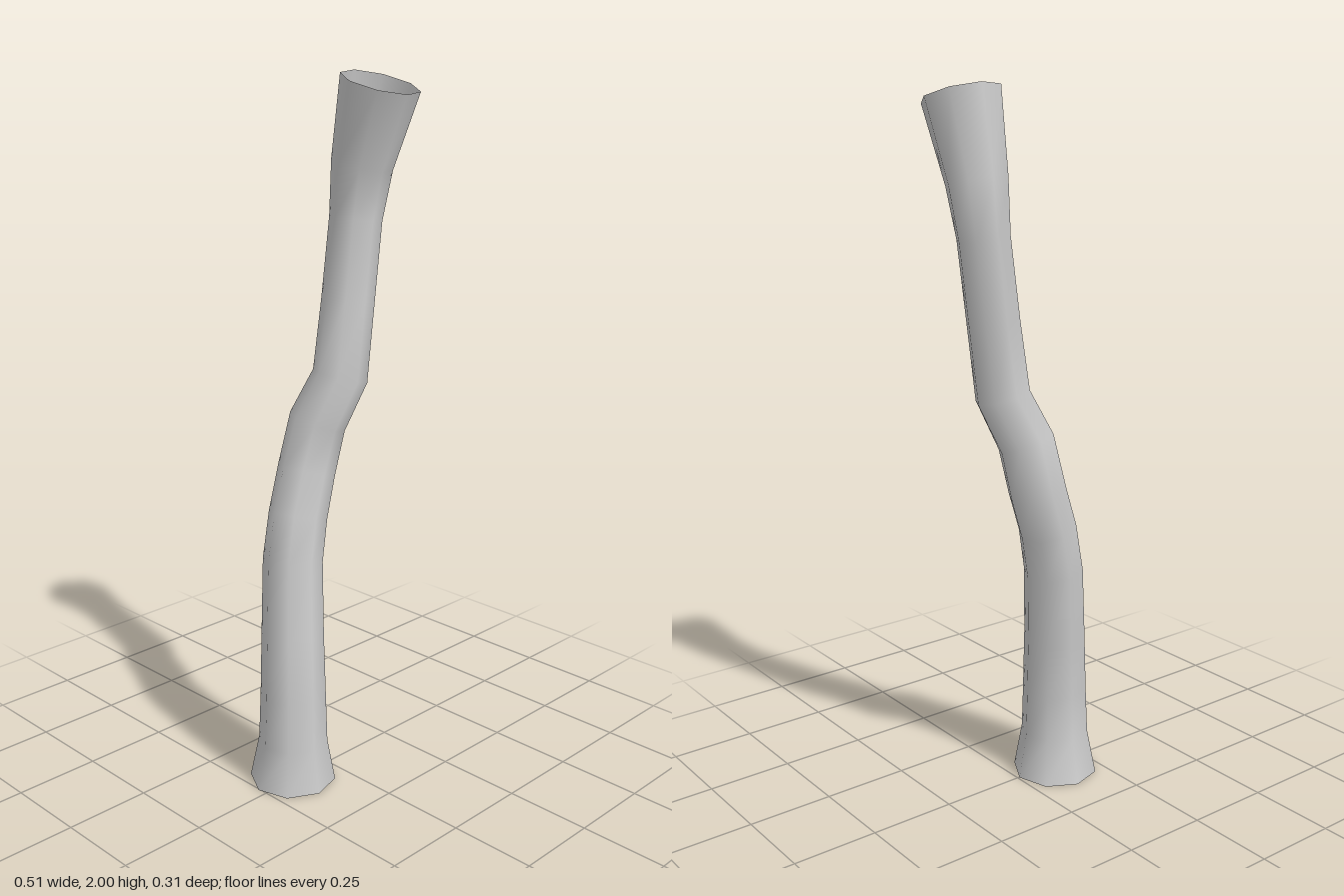
import * as THREE from 'three';

const SIDES = 8;
const PHASE = THREE.MathUtils.degToRad(6);

// Trunk cross-sections from root to tip: centre x, y, z and radius
const RINGS = [
  [-0.13, 0, -0.015, 0.125],
  [-0.132, 0.13, -0.01, 0.1],
  [-0.128, 0.27, -0.013, 0.095],
  [-0.115, 0.45, -0.027, 0.09],
  [-0.086, 0.66, -0.055, 0.086],
  [-0.062, 0.79, -0.057, 0.083],
  [-0.013, 0.91, -0.072, 0.081],
  [0.014, 1.05, -0.055, 0.077],
  [0.063, 1.18, -0.014, 0.076],
  [0.097, 1.39, -0.018, 0.074],
  [0.13, 1.61, -0.022, 0.073],
  [0.143, 1.755, -0.012, 0.084],
  [0.147, 1.972, 0.049, 0.107],
];

// Open tube whose rings lean square to the path; the foot stays flat on the ground
function trunkGeometry() {
  const positions = [];
  const indices = [];
  const last = RINGS.length - 1;
  RINGS.forEach(([cx, cy, cz, r], i) => {
    const a = RINGS[Math.max(i - 1, 0)];
    const b = RINGS[Math.min(i + 1, last)];
    const lean = i === 0 ? 0 : 1 / (b[1] - a[1]);
    const slopeX = (b[0] - a[0]) * lean;
    const slopeZ = (b[2] - a[2]) * lean;
    for (let j = 0; j < SIDES; j++) {
      const t = PHASE + (j / SIDES) * Math.PI * 2;
      const dx = r * Math.cos(t);
      const dz = r * Math.sin(t);
      positions.push(cx + dx, cy - slopeX * dx - slopeZ * dz, cz + dz);
      if (i < last) {
        const p = i * SIDES + j;
        const q = i * SIDES + ((j + 1) % SIDES);
        indices.push(p, p + SIDES, q, q, p + SIDES, q + SIDES);
      }
    }
  });
  const geometry = new THREE.BufferGeometry();
  geometry.setAttribute('position', new THREE.Float32BufferAttribute(positions, 3));
  geometry.setIndex(indices);
  geometry.computeVertexNormals();
  return geometry;
}

export function createModel() {
  const group = new THREE.Group();
  group.name = 'treeTrunk';
  const material = new THREE.MeshStandardMaterial({ color: 0xcccccc, side: THREE.DoubleSide });
  const trunk = new THREE.Mesh(trunkGeometry(), material);
  trunk.name = 'trunk';
  group.add(trunk);
  return group;
}
